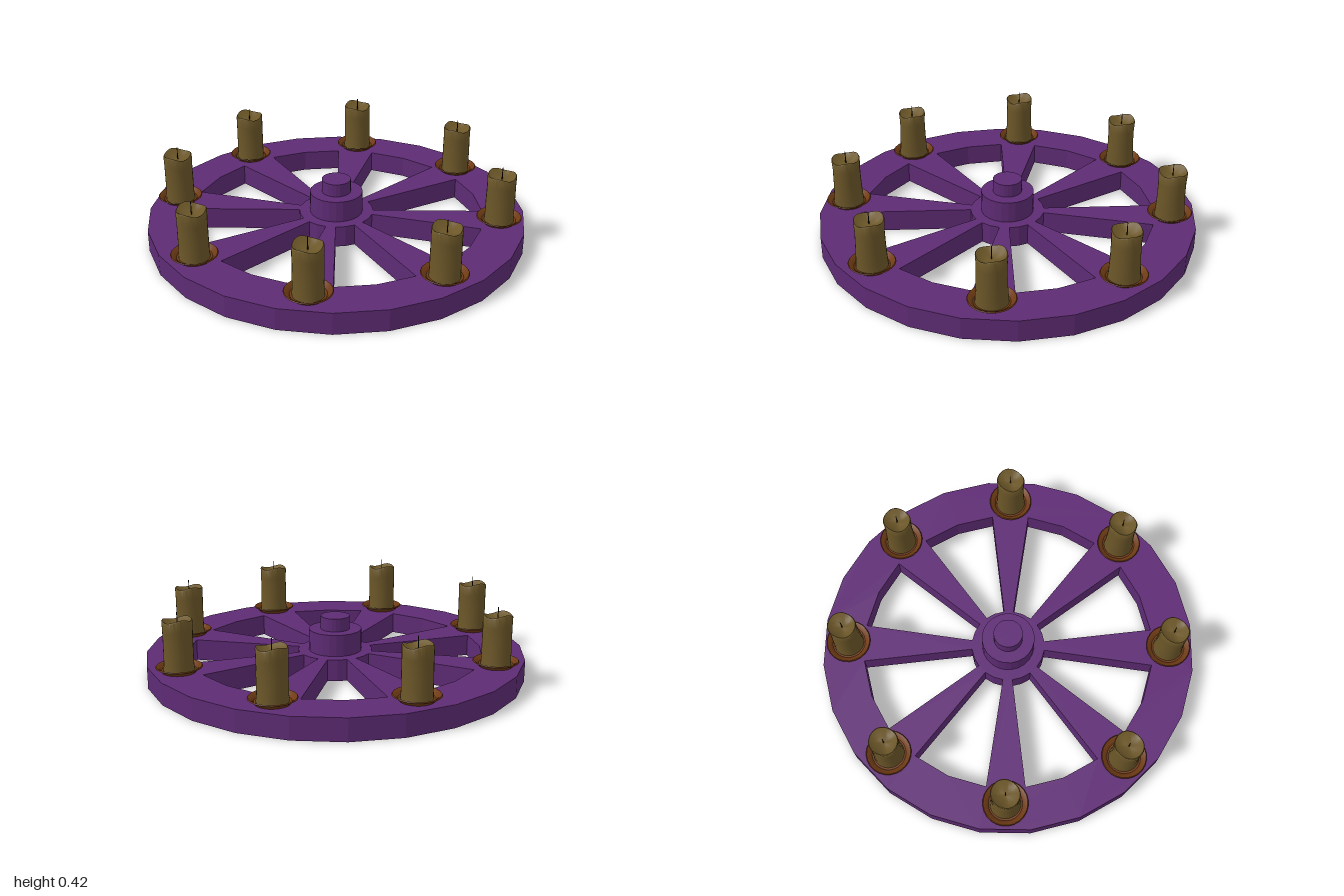
import * as THREE from 'three';
import { toCreasedNormals } from 'three/addons/utils/BufferGeometryUtils.js';

const STEP = Math.PI / 12; // 24-sided wheel
const DECK = 0.115;        // wheel thickness
const v = (x, y) => new THREE.Vector2(x, y);

// Points on a circle, from step a to step b
function arc(radius, a, b) {
  const pts = [];
  const dir = Math.sign(b - a);
  for (let i = a; i !== b + dir; i += dir) {
    pts.push(v(radius * Math.cos(i * STEP), radius * Math.sin(i * STEP)));
  }
  return pts;
}

export function createModel() {
  const model = new THREE.Group();
  model.name = 'candleWheel';

  const paint = new THREE.MeshStandardMaterial({ color: 0x5e2b74, flatShading: true });
  const wax = new THREE.MeshStandardMaterial({ color: 0x6b5628, side: THREE.DoubleSide });
  const copper = new THREE.MeshStandardMaterial({ color: 0x6e3a14, side: THREE.DoubleSide });
  const black = new THREE.MeshStandardMaterial({ color: 0x1c1814 });

  function add(parent, name, geometry, material, y = 0) {
    const mesh = new THREE.Mesh(geometry, material);
    mesh.name = name;
    mesh.position.y = y;
    parent.add(mesh);
    return mesh;
  }

  // Wheel: rim, eight wedge spokes and hub disc in one plate with openings
  const plate = new THREE.Shape(arc(1, 0, 23));
  for (let k = 0; k < 8; k++) {
    const a = k * 3 + 1;
    const b = k * 3 + 3;
    plate.holes.push(new THREE.Path([...arc(0.78, a, b), ...arc(0.197, b, a)]));
  }
  const wheel = new THREE.ExtrudeGeometry(plate, { depth: DECK, bevelEnabled: false });
  wheel.rotateX(Math.PI / 2);
  add(model, 'wheel', wheel, paint, DECK);

  // Stepped hub
  add(model, 'hub', new THREE.CylinderGeometry(0.14, 0.14, 0.115, 24), paint, DECK + 0.0575);
  add(model, 'axleCap', new THREE.CylinderGeometry(0.077, 0.077, 0.07, 24), paint, 0.265);

  // Flared drip dish
  const dishGeo = toCreasedNormals(new THREE.LatheGeometry([
    v(0, 0.001), v(0.085, 0.001), v(0.095, 0.012), v(0.118, 0.026), v(0.114, 0.031),
    v(0.098, 0.022), v(0.088, 0.01), v(0, 0.01),
  ], 24), 0.6);

  // Candle body with hollowed top; the rim is melted into uneven waves
  const candle = new THREE.LatheGeometry([
    v(0.079, 0.006), v(0.076, 0.05), v(0.074, 0.13), v(0.073, 0.21), v(0.075, 0.262),
    v(0.071, 0.268), v(0.062, 0.262), v(0.045, 0.25), v(0.02, 0.243), v(0, 0.242),
  ], 28);
  const p = candle.attributes.position;
  for (let i = 0; i < p.count; i++) {
    const x = p.getX(i), y = p.getY(i), z = p.getZ(i);
    const r = Math.hypot(x, z);
    const t = Math.atan2(z, x);
    const high = THREE.MathUtils.smoothstep(y, 0.13, 0.26);
    const wave = 0.007 * Math.cos(3 * t + 2.8) - 0.006 * Math.cos(t);
    const bulge = 1 + 0.02 * Math.sin(2 * t + y * 18);
    p.setXYZ(i, x * bulge, y + high * wave * (r / 0.075), z * bulge);
  }
  const candleGeo = toCreasedNormals(candle, 0.7);
  const wickGeo = new THREE.CylinderGeometry(0.002, 0.003, 0.07, 6);

  // One candle and dish at the outer end of each spoke
  for (let k = 0; k < 8; k++) {
    const angle = (k * 3 + 0.5) * STEP;
    const holder = new THREE.Group();
    holder.name = 'candleHolder' + (k + 1);
    holder.position.set(0.862 * Math.cos(angle), DECK, 0.862 * Math.sin(angle));
    add(holder, 'dish', dishGeo, copper);
    add(holder, 'candle', candleGeo, wax);
    add(holder, 'wick', wickGeo, black, 0.272);
    model.add(holder);
  }
  return model;
}
